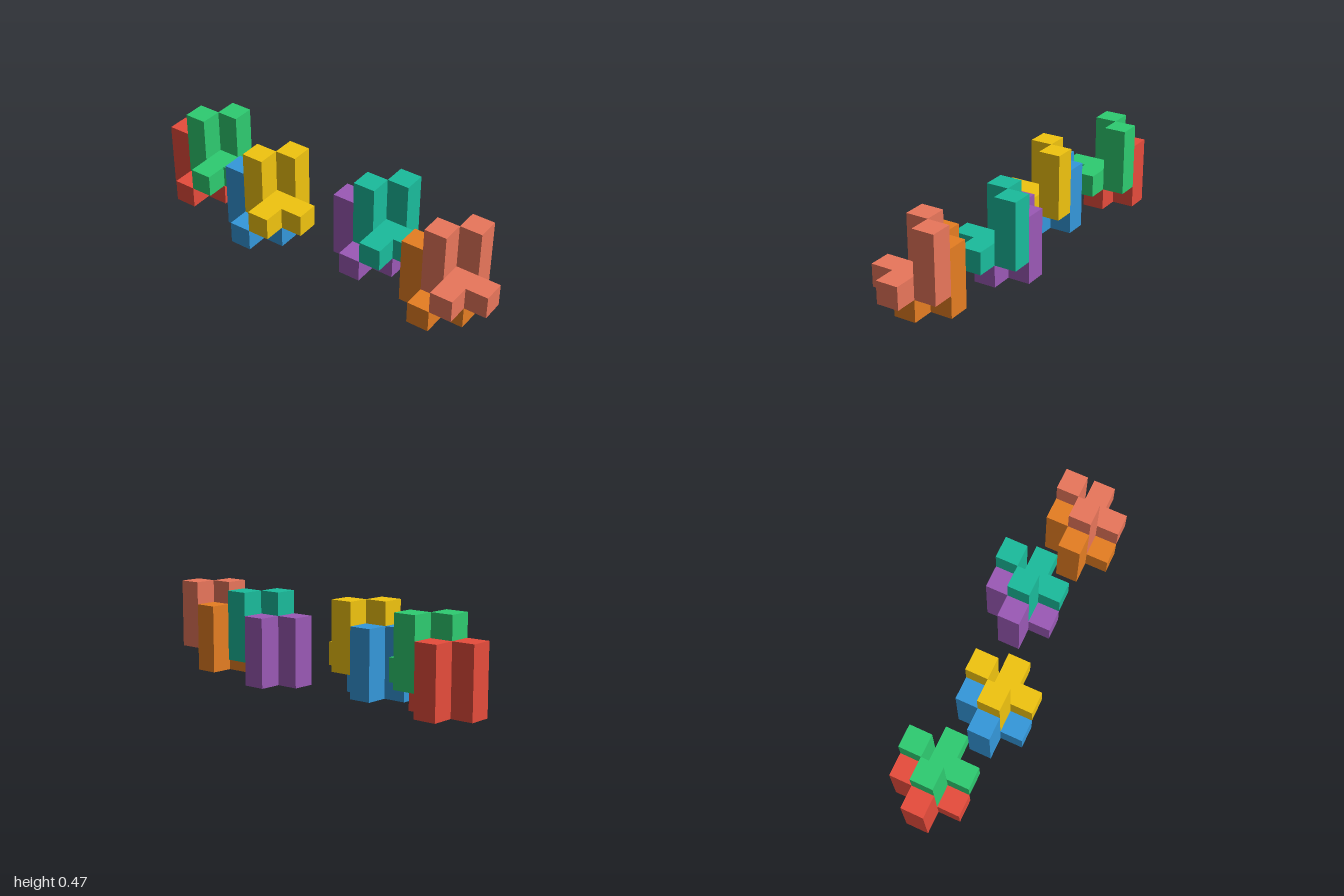
import * as THREE from 'three';

const U = 2 / 17; // edge of one cube cell

// Plus-shaped slab, one cell thick, standing on y = 0
function plusGeometry() {
  const a = U / 2, b = 1.5 * U;
  const outline = [
    [-a, -b], [a, -b], [a, -a], [b, -a], [b, a], [a, a],
    [a, b], [-a, b], [-a, a], [-b, a], [-b, -a], [-a, -a],
  ].map(([x, y]) => new THREE.Vector2(x, y));
  const geometry = new THREE.ExtrudeGeometry(new THREE.Shape(outline), { depth: U, bevelEnabled: false });
  return geometry.rotateX(-Math.PI / 2);
}

// One puzzle piece: plus base with two-cell columns on its right and back arms
function createPiece(name, color, plus, column) {
  const piece = new THREE.Group();
  piece.name = name;
  const material = new THREE.MeshStandardMaterial({ color, flatShading: true });
  const add = (part, geometry, x, y, z) => {
    const mesh = new THREE.Mesh(geometry, material);
    mesh.name = part;
    mesh.position.set(x * U, y * U, z * U);
    piece.add(mesh);
  };
  add('plusBase', plus, 0, 0, 0);
  add('sideColumn', column, -1, 2, 0);
  add('backColumn', column, 0, 2, -1);
  return piece;
}

export function createModel() {
  const model = new THREE.Group();
  model.name = 'interlockingPieces';
  const plus = plusGeometry();
  const column = new THREE.BoxGeometry(U, 2 * U, U);

  // Pairs: first cell along x, z centre in cells, lower and upper colours
  const pairs = [
    { start: 0, z: -0.5, lower: 0xe74c3c, upper: 0x2ecc71 },
    { start: 4, z: 0.5, lower: 0x3498db, upper: 0xf1c40f },
    { start: 9, z: -0.5, lower: 0x9b59b6, upper: 0x1abc9c },
    { start: 13, z: 0.5, lower: 0xe67e22, upper: 0xe9765b },
  ];
  pairs.forEach(({ start, z, lower, upper }, i) => {
    const pair = new THREE.Group();
    pair.name = `piecePair${i + 1}`;
    pair.position.set(-1 + (start + 1.5) * U, 0, z * U);
    const bottom = createPiece('lowerPiece', lower, plus, column);
    const top = createPiece('upperPiece', upper, plus, column);
    top.position.set(U, U, 0); // nested one cell over and one cell up
    pair.add(bottom, top);
    model.add(pair);
  });
  return model;
}
